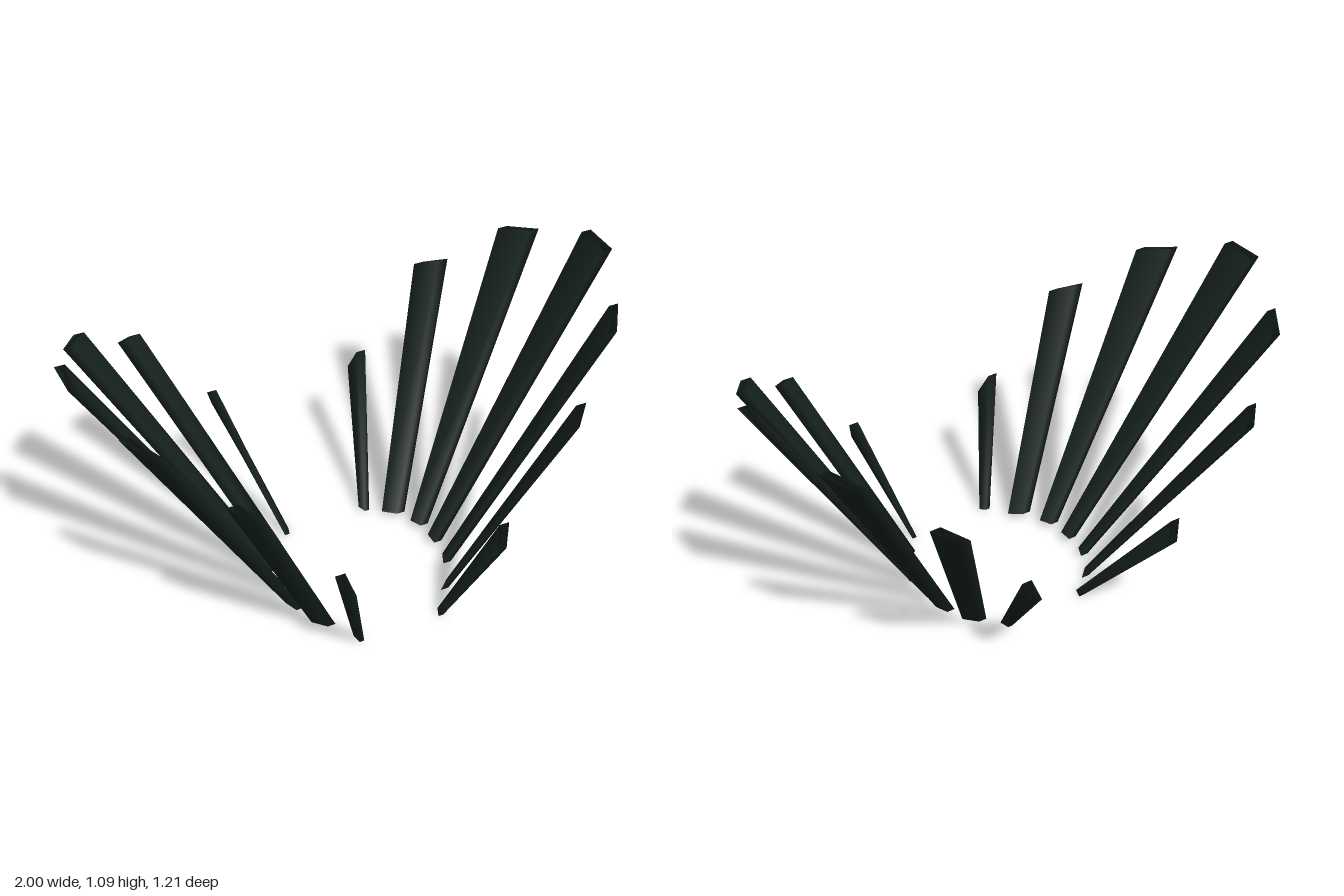
import * as THREE from 'three';
import { mergeVertices } from 'three/addons/utils/BufferGeometryUtils.js';

const material = new THREE.MeshStandardMaterial({ color: 0x16221f });

// Each blade: outer corners [x, y, z] of its front and back edge at tip and base,
// and its thickness along x at tip and base.
const blades = [
  { name: 'frontShortBlade', tip: [[0.30, 0.405, 0.605], [0.325, 0.485, 0.57]], base: [[0.165, 0, 0.425], [0.175, 0.01, 0.395]], thick: [0.037, 0.018] },
  { name: 'frontMediumBlade', tip: [[0.59, 0.785, 0.545], [0.655, 0.82, 0.475]], base: [[0.24, 0.015, 0.32], [0.285, 0.02, 0.28]], thick: [0.04, 0.03] },
  { name: 'frontLongBlade', tip: [[0.84, 0.975, 0.345], [0.91, 1.005, 0.235]], base: [[0.31, 0.025, 0.205], [0.33, 0.027, 0.157]], thick: [0.037, 0.03] },
  { name: 'middleBlade', tip: [[1, 1.09, 0.035], [1, 1.09, -0.11]], base: [[0.33, 0.03, 0.092], [0.33, 0.03, 0.04]], thick: [0.037, 0.03] },
  { name: 'backLongBlade', tip: [[0.91, 1.005, -0.315], [0.84, 0.975, -0.425]], base: [[0.33, 0.027, -0.02], [0.31, 0.025, -0.065]], thick: [0.037, 0.03] },
  { name: 'backMediumBlade', tip: [[0.655, 0.82, -0.535], [0.59, 0.785, -0.605]], base: [[0.285, 0.022, -0.125], [0.24, 0.018, -0.167]], thick: [0.04, 0.03] },
  { name: 'backShortBlade', tip: [[0.325, 0.485, -0.56], [0.30, 0.41, -0.585]], base: [[0.175, 0.01, -0.205], [0.165, 0.008, -0.24]], thick: [0.037, 0.018] },
];

// Tapered blade: a box whose corners are moved to the tip and base edges
function bladeGeometry({ tip, base, thick }, side) {
  let geo = new THREE.BoxGeometry(1, 1, 1);
  geo.deleteAttribute('normal');
  geo.deleteAttribute('uv');
  geo = mergeVertices(geo);
  const p = geo.attributes.position;
  for (let i = 0; i < p.count; i++) {
    const atTip = p.getY(i) > 0;
    const [x, y, z] = (atTip ? tip : base)[p.getZ(i) > 0 ? 0 : 1];
    const outer = Math.sign(p.getX(i)) === side;
    p.setXYZ(i, side * (outer ? x : x - thick[atTip ? 0 : 1]), y, z);
  }
  geo.computeVertexNormals();
  return geo;
}

export function createModel() {
  const model = new THREE.Group();
  model.name = 'bladeFans';
  // Two mirrored fans leaning outwards
  for (const side of [1, -1]) {
    const fan = new THREE.Group();
    fan.name = side > 0 ? 'leftFan' : 'rightFan';
    for (const blade of blades) {
      const mesh = new THREE.Mesh(bladeGeometry(blade, side), material);
      mesh.name = blade.name;
      fan.add(mesh);
    }
    model.add(fan);
  }
  return model;
}
